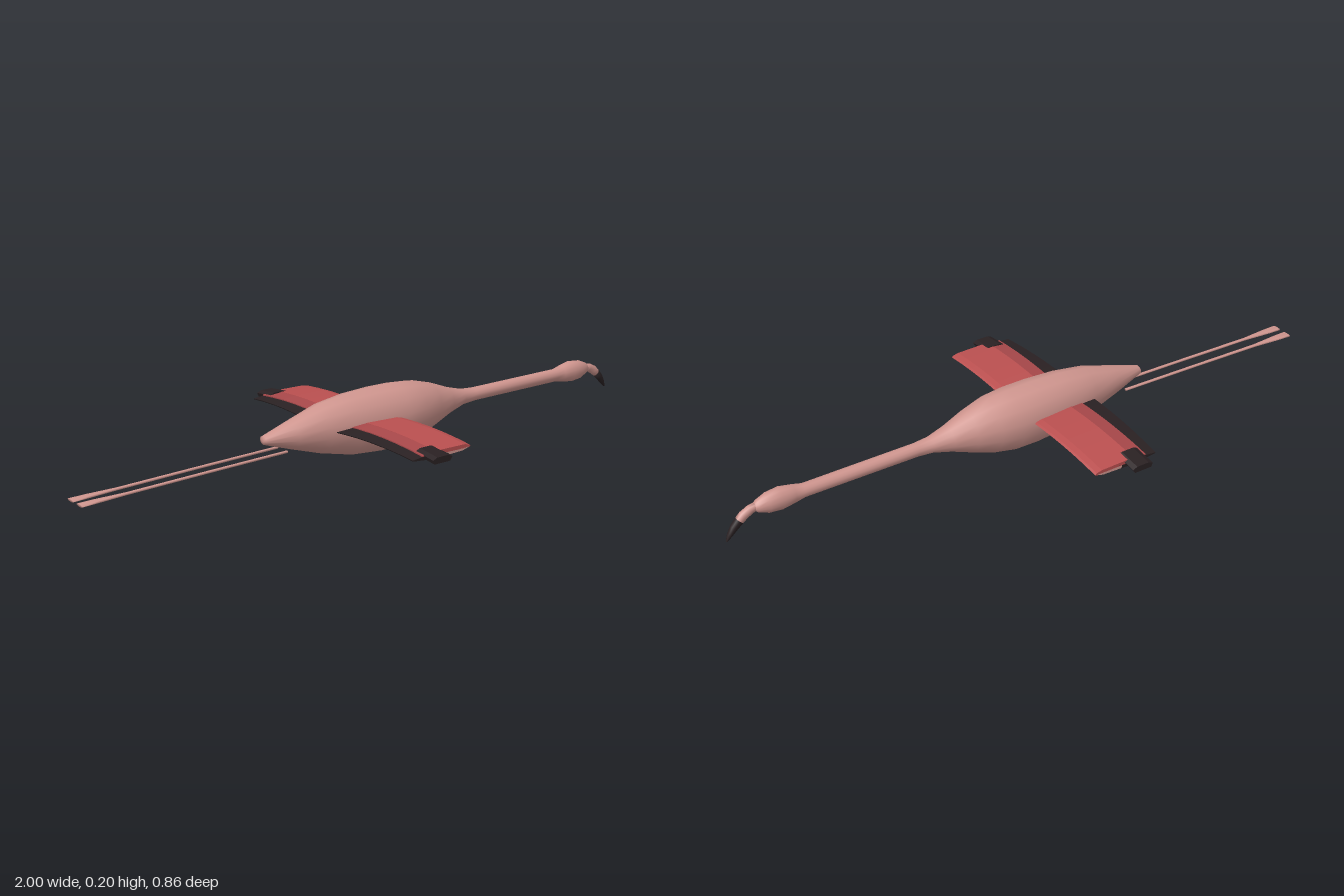
import * as THREE from 'three';

const mat = (name, color) => {
  const m = new THREE.MeshStandardMaterial({ color });
  m.name = name;
  return m;
};

// Joins rings of points into a closed skin with fan caps.
function skin(rings, smooth) {
  const n = rings[0].length, pos = [], idx = [];
  rings.forEach(r => r.forEach(p => pos.push(...p)));
  for (let i = 0; i < rings.length - 1; i++) {
    for (let j = 0; j < n; j++) {
      const a = i * n + j, b = i * n + (j + 1) % n;
      idx.push(a, b, a + n, b, b + n, a + n);
    }
  }
  const last = (rings.length - 1) * n;
  for (let j = 1; j < n - 1; j++) {
    idx.push(0, j + 1, j, last, last + j, last + j + 1);
  }
  let g = new THREE.BufferGeometry();
  g.setAttribute('position', new THREE.Float32BufferAttribute(pos, 3));
  g.setIndex(idx);
  if (!smooth) g = g.toNonIndexed();
  g.computeVertexNormals();
  return g;
}

// Elliptical sections along x: [x, y, half height, half width, tilt]
function loft(sections, sides = 14, z0 = 0) {
  return skin(sections.map(([x, y, h, w, tilt = 0]) =>
    Array.from({ length: sides }, (_, j) => {
      const a = j / sides * Math.PI * 2, u = Math.cos(a) * h;
      return [x - Math.sin(tilt) * u, y + Math.cos(tilt) * u, z0 + Math.sin(a) * w];
    })), true);
}

// Sweeps an x-y profile outward along an arched wing span.
const arch = z => 0.118 - 0.3 * (z - 0.2) ** 2;
function wingLayer(profile, spans, side, taper = 0) {
  const pts = side > 0 ? profile : [...profile].reverse();
  return skin(spans.map(z => pts.map(([x, y]) =>
    [x * (1 - taper * z), arch(z) + y, z * side])), false);
}

export function createModel() {
  const group = new THREE.Group();
  const pink = mat('pink plumage', 0xd0968f);
  const red = mat('red coverts', 0xbb5050);
  const deepRed = mat('deep red coverts', 0xa8484a);
  const black = mat('black feathers', 0x2a2123);
  const add = (name, geometry, material, parent = group) => {
    const mesh = new THREE.Mesh(geometry, material);
    mesh.name = name;
    parent.add(mesh);
  };

  // Body, neck and head in one smooth skin
  add('bodyNeckHead', loft([
    [-0.402, 0.112, 0.004, 0.006], [-0.4, 0.112, 0.013, 0.017],
    [-0.3, 0.110, 0.045, 0.043], [-0.2, 0.109, 0.076, 0.065],
    [-0.1, 0.104, 0.095, 0.08], [0, 0.102, 0.101, 0.087],
    [0.08, 0.102, 0.1, 0.088], [0.15, 0.106, 0.09, 0.08],
    [0.22, 0.108, 0.069, 0.061], [0.29, 0.108, 0.042, 0.04],
    [0.35, 0.108, 0.025, 0.026], [0.4, 0.108, 0.021, 0.022],
    [0.6, 0.108, 0.021, 0.021], [0.76, 0.108, 0.021, 0.02],
    [0.79, 0.109, 0.028, 0.024], [0.83, 0.110, 0.035, 0.029],
    [0.87, 0.110, 0.031, 0.026], [0.9, 0.110, 0.019, 0.017],
    [0.912, 0.110, 0.008, 0.009],
  ]), pink);

  // Down-curved bill with a black tip
  add('billBase', loft([
    [0.895, 0.113, 0.012, 0.012, -0.2], [0.92, 0.108, 0.014, 0.012, -0.45],
    [0.942, 0.096, 0.015, 0.012, -0.65], [0.957, 0.083, 0.014, 0.012, -0.8],
  ], 10), pink);
  add('billTip', loft([
    [0.955, 0.085, 0.0145, 0.0122, -0.8], [0.973, 0.067, 0.012, 0.011, -0.9],
    [0.988, 0.047, 0.008, 0.008, -1.0], [0.999, 0.03, 0.002, 0.003, -1.0],
  ], 10), black);

  const spans = [0.04, 0.1, 0.16, 0.22, 0.28, 0.34, 0.39];
  for (const side of [1, -1]) {
    const label = side > 0 ? 'left' : 'right';

    // Trailing leg with a flattened foot
    add(label + 'Leg', loft([
      [-1, 0.059, 0.004, 0.017], [-0.95, 0.06, 0.004, 0.015],
      [-0.86, 0.061, 0.004, 0.006], [-0.6, 0.067, 0.004, 0.005],
      [-0.335, 0.072, 0.004, 0.005],
    ], 8, side * 0.025), pink);

    // Layered wing
    const wing = new THREE.Group();
    wing.name = label + 'Wing';
    group.add(wing);
    add('coverts', wingLayer([[0.043, 0], [0.038, 0.005], [0.02, 0.009],
      [-0.09, 0.011], [-0.09, 0], [0.035, -0.003]], spans, side), red, wing);
    add('rearCoverts', wingLayer([[-0.088, 0.0105], [-0.135, 0.006],
      [-0.135, 0.002], [-0.088, 0.001]], spans, side), deepRed, wing);
    add('wingLining', wingLayer([[0.038, -0.001], [-0.05, -0.001],
      [-0.05, -0.01], [0.015, -0.008]], spans, side), pink, wing);
    add('flightFeathers', wingLayer([[-0.04, 0.001], [-0.13, 0.004],
      [-0.19, -0.001], [-0.188, -0.004], [-0.11, -0.011], [-0.045, -0.011]],
    spans, side, 0.27), black, wing);
    add('wingTip', wingLayer([[-0.06, 0.006], [-0.075, 0.0125], [-0.115, 0.0125],
      [-0.13, 0.006], [-0.125, -0.006], [-0.068, -0.006]],
    [0.355, 0.39, 0.43], side), black, wing);
  }
  return group;
}
